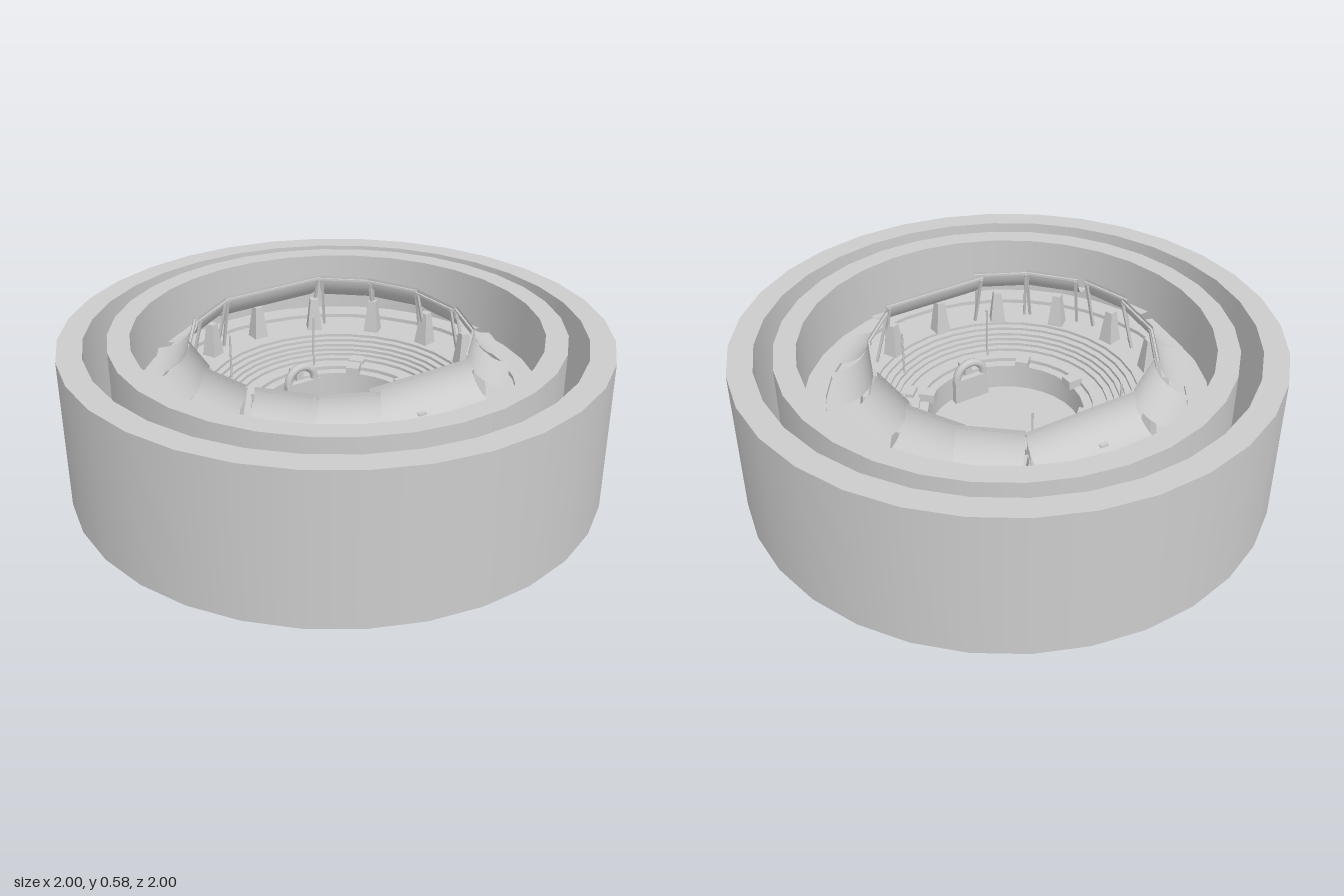
import * as THREE from 'three';
import { mergeGeometries } from 'three/addons/utils/BufferGeometryUtils.js';

const SIDES = 32;
const grey = new THREE.MeshStandardMaterial({ color: 0xcccccc });
const greyDouble = new THREE.MeshStandardMaterial({ color: 0xcccccc, side: THREE.DoubleSide });

// Turned solid whose profile corners stay sharp
function turned(profile) {
  const bands = [];
  for (let i = 0; i < profile.length - 1; i++) {
    const pair = [profile[i], profile[i + 1]].map(([r, y]) => new THREE.Vector2(r, y));
    bands.push(new THREE.LatheGeometry(pair, SIDES, Math.PI / SIDES));
  }
  return mergeGeometries(bands);
}

function ring(outer, inner, y0, y1) {
  return turned([[outer, y0], [outer, y1], [inner, y1], [inner, y0], [outer, y0]]);
}

// Roof section: a quarter-round sheet, steep and high on the side near the centre (-z)
function canopySheet(length) {
  const geo = new THREE.CylinderGeometry(1, 1, length, 12, 1, true, Math.PI, Math.PI / 2);
  geo.rotateZ(Math.PI / 2); // axis along x
  geo.computeBoundingBox();
  const { min, max } = geo.boundingBox;
  const up = min.y < -0.5 ? 1 : -1;
  const out = min.z < -0.5 ? 1 : -1;
  if (up * out < 0) geo.rotateX(max.z > 0.5 ? Math.PI / 2 : -Math.PI / 2);
  geo.scale(1, 0.125, 0.14);
  geo.translate(0, 0.565, 0.07);
  return geo;
}

export function createModel() {
  const model = new THREE.Group();
  const add = (name, geo, x = 0, y = 0, z = 0, parent = model, mat = grey) => {
    const mesh = new THREE.Mesh(geo, mat);
    mesh.name = name;
    mesh.position.set(x, y, z);
    parent.add(mesh);
    return mesh;
  };

  // Two concentric walls
  add('outerWall', ring(1.005, 0.914, 0, 0.572));
  add('innerWall', ring(0.836, 0.755, 0.11, 0.578), 0.013, 0, -0.01);

  // Floor between the inner wall and the bowl
  add('floor', turned([[0.755, 0.345], [0.67, 0.345], [0.67, 0.33], [0.51, 0.33]]),
    0.013, 0, -0.01, model, greyDouble);

  // Stepped bowl leading down to the pit
  const steps = [[0.53, 0.33]];
  let y = 0.33;
  for (const r of [0.5, 0.475, 0.45, 0.43, 0.41, 0.385]) {
    steps.push([r, y]);
    y -= 0.011;
    steps.push([r, y]);
  }
  steps.push([0.33, y], [0.33, 0.25], [0.295, 0.25], [0.295, 0.15]);
  add('steppedBowl', turned(steps), 0.01, 0, 0, model, greyDouble);
  const pit = new THREE.PlaneGeometry(0.7, 0.7).rotateX(-Math.PI / 2);
  add('pitFloor', pit, 0.013, 0.15, 0, model, greyDouble);

  // Canopies: centre x, centre z, length
  const canopies = [
    [0.04, -0.59, 0.44], [0.39, -0.49, 0.23], [0.52, -0.31, 0.23], [0.57, -0.06, 0.22],
    [0.545, 0.18, 0.22], [0.41, 0.385, 0.21], [0.05, 0.52, 0.43], [-0.275, 0.5, 0.22],
    [-0.455, 0.36, 0.22], [-0.585, 0.12, 0.21], [-0.575, -0.12, 0.23],
    [-0.495, -0.345, 0.23], [-0.31, -0.51, 0.22],
  ];
  for (const [x, z, length] of canopies) {
    const section = new THREE.Group();
    section.name = 'canopySection';
    section.position.set(x, 0, z);
    section.rotation.y = Math.abs(x) < 0.1 ? (z > 0 ? 0 : Math.PI) : Math.atan2(x, z + 0.035);
    model.add(section);
    add('canopy', canopySheet(length), 0, 0, 0, section, greyDouble);
    add('frontBeam', new THREE.BoxGeometry(length, 0.008, 0.008), 0, 0.55, -0.073, section);
    for (const side of [-1, 1]) {
      const post = add('canopyPost', new THREE.BoxGeometry(0.01, 0.22, 0.01),
        side * (length / 2 - 0.01), 0.44, -0.048, section);
      post.rotation.x = -0.245;
    }
  }

  // Tapered piers under the canopies
  const pierGeo = new THREE.CylinderGeometry(0.022, 0.042, 0.13, 4).rotateY(Math.PI / 4).toNonIndexed();
  pierGeo.computeVertexNormals();
  for (let i = 0; i < 14; i++) {
    const a = (i / 14) * Math.PI * 2;
    const pier = add('pier', pierGeo, Math.sin(a) * 0.55, 0.395, Math.cos(a) * 0.55 - 0.035);
    pier.rotation.y = a;
  }

  // Blocks around the pit rim
  for (let i = 0; i < 8; i++) {
    const a = (i * Math.PI) / 4;
    const width = i % 4 === 0 ? 0.03 : 0.05;
    const block = add('rimBlock', new THREE.BoxGeometry(width, 0.035, 0.06),
      0.01 + Math.sin(a) * 0.305, 0.265, Math.cos(a) * 0.305);
    block.rotation.y = a;
  }

  // Arches at the front and back of the pit
  const archGeo = new THREE.TorusGeometry(0.06, 0.016, 8, 16, Math.PI);
  for (const side of [-1, 1]) {
    add('arch', archGeo, 0.01, 0.25, side * 0.265, model, greyDouble);
    add('archBase', new THREE.BoxGeometry(0.15, 0.1, 0.025), 0.01, 0.2, side * 0.262);
  }

  // Slim poles and small boxes on the walkway
  const poleGeo = new THREE.CylinderGeometry(0.004, 0.004, 0.21, 6);
  for (const side of [-1, 1]) {
    add('pole', poleGeo, side * 0.25, 0.37, side * 0.36);
    add('pole', poleGeo, side * -0.113, 0.37, side * 0.336);
    add('walkwayBox', new THREE.BoxGeometry(0.025, 0.035, 0.025), side * 0.4, 0.285, side * 0.215);
    // Stair ramps cutting across the steps
    const ramp = add('stairRamp', new THREE.BoxGeometry(0.06, 0.02, 0.08), 0.29, 0.268, side * 0.28);
    ramp.rotation.y = side * Math.PI / 4;
  }
  return model;
}
